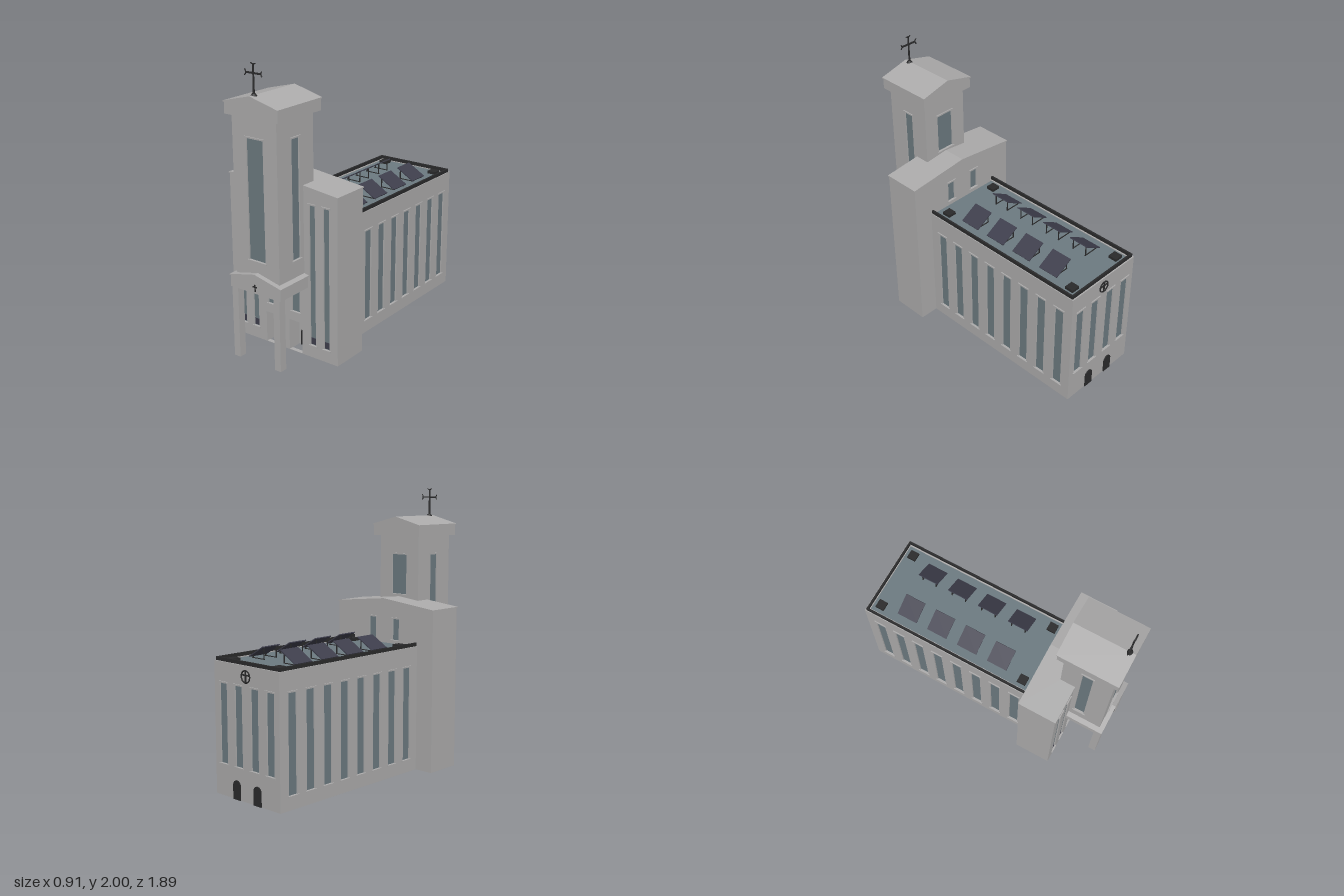
import * as THREE from 'three';

const mat = (name, color) => {
  const m = new THREE.MeshStandardMaterial({ color });
  m.name = name;
  return m;
};

export function createModel() {
  const stone = mat('stone', 0xacabab);
  const glass = mat('glass', 0x6c7a80);
  const panel = mat('solar panel', 0x3e3e4c);
  const iron = mat('dark iron', 0x2a2a2b);
  const root = new THREE.Group();

  const add = (parent, name, geo, m, x = 0, y = 0, z = 0) => {
    const mesh = new THREE.Mesh(geo, m);
    mesh.name = name;
    mesh.position.set(x, y, z);
    parent.add(mesh);
    return mesh;
  };
  const box = (parent, name, m, w, h, d, x, y, z) =>
    add(parent, name, new THREE.BoxGeometry(w, h, d), m, x, y, z);
  const group = (name, parent = root) => {
    const g = new THREE.Group();
    g.name = name;
    parent.add(g);
    return g;
  };
  const extrude = (shape, depth) =>
    new THREE.ExtrudeGeometry(shape, { depth, bevelEnabled: false, curveSegments: 10 });
  const rect = (T, x0, y0, x1, y1) => {
    const s = new T();
    s.moveTo(x0, y0); s.lineTo(x1, y0); s.lineTo(x1, y1); s.lineTo(x0, y1); s.closePath();
    return s;
  };

  // Wall whose outer face is at local z = 0, pierced by framed windows
  const T = 0.03;
  const wall = (name, w, y0, y1, windows, pos, rotY, voids = []) => {
    const g = group(name);
    g.position.set(...pos);
    g.rotation.y = rotY;
    const shape = rect(THREE.Shape, -w / 2, y0, w / 2, y1);
    for (const v of voids) shape.holes.push(rect(THREE.Path, ...v));
    for (const o of windows) {
      shape.holes.push(rect(THREE.Path, o.x - o.w / 2, o.y0, o.x + o.w / 2, o.y1));
      box(g, 'windowPane', glass, o.w, o.y1 - o.y0, 0.006, o.x, (o.y0 + o.y1) / 2, -0.013);
      for (const y of [o.y0 - 0.005, o.y1 + 0.005])
        box(g, 'windowLedge', stone, o.w + 0.022, 0.01, 0.02, o.x, y, -0.002);
    }
    add(g, 'wallPanel', extrude(shape, T), stone, 0, 0, -T);
    return g;
  };
  const wins = (xs, w, y0, y1) => xs.map((x) => ({ x, w, y0, y1 }));

  // Low gabled roof block, ridge along z
  const gable = (parent, name, half, y, rise, z0, z1) => {
    const s = new THREE.Shape();
    s.moveTo(-half, 0); s.lineTo(half, 0); s.lineTo(half, 0.008);
    s.lineTo(0, rise); s.lineTo(-half, 0.008); s.closePath();
    add(parent, name, extrude(s, z1 - z0), stone, 0, y, z0);
  };

  // Arched door leaf, standing on local y = 0
  const door = (parent, x, z, dir) => {
    const s = new THREE.Shape();
    s.moveTo(-0.035, 0); s.lineTo(0.035, 0); s.lineTo(0.035, 0.095);
    s.absarc(0, 0.095, 0.035, 0, Math.PI, false);
    s.closePath();
    const d = add(parent, 'door', extrude(s, 0.008), iron, x, 0, z);
    if (dir < 0) d.rotation.y = Math.PI;
  };

  // Nave: two long walls and the back wall
  const H = Math.PI / 2;
  const bays = Array.from({ length: 8 }, (_, i) => (i - 3.5) * 0.158);
  for (const s of [-1, 1])
    wall('naveSideWall', 1.325, 0, 0.9, wins(bays, 0.072, 0.095, 0.76), [0.31 * s, 0, -0.2725], s * H);
  wall('naveBackWall', 0.62, 0, 0.9, wins([-0.225, -0.077, 0.077, 0.225], 0.07, 0.22, 0.76),
    [0, 0, -0.937], Math.PI);
  for (const x of [-0.1, 0.1]) door(root, x, -0.936, -1);

  // Nave roof with dark parapet rail
  const roof = group('naveRoof');
  box(roof, 'roofDeck', glass, 0.57, 0.012, 1.29, 0, 0.889, -0.265);
  for (const s of [-1, 1]) {
    box(roof, 'parapetRail', iron, 0.014, 0.026, 1.315, 0.297 * s, 0.911, -0.267);
    for (const z of [-0.85, 0.3]) box(roof, 'roofVent', iron, 0.064, 0.02, 0.064, 0.22 * s, 0.905, z);
  }
  box(roof, 'parapetRail', iron, 0.606, 0.026, 0.014, 0, 0.911, -0.92);

  // Solar panels leaning outward on thin stands
  for (const s of [-1, 1]) for (let i = 0; i < 4; i++) {
    const g = group('solarPanel', roof);
    g.position.set(0.152 * s, 0.895, 0.09 - i * 0.243);
    const p = box(g, 'panelFace', panel, 0.156, 0.007, 0.155, 0, 0.05, 0);
    p.rotation.z = -s * 0.52;
    for (const z of [-0.055, 0.055]) {
      box(g, 'panelLegTall', iron, 0.006, 0.078, 0.006, -0.055 * s, 0.038, z);
      box(g, 'panelLegShort', iron, 0.006, 0.02, 0.006, 0.05 * s, 0.01, z);
      box(g, 'panelFoot', iron, 0.12, 0.005, 0.006, 0, 0.003, z);
    }
  }

  // Transept with entrance niches in its front wall
  const front = wall('transeptFrontWall', 0.9, 0, 1.165, [
    ...wins([-0.36, -0.247, 0.247, 0.36], 0.046, 0.09, 1.075),
    ...wins([-0.103, 0.103], 0.066, 0.295, 0.495),
  ], [0, 0, 0.66], 0, [[-0.155, 0.002, -0.045, 0.225], [0.045, 0.002, 0.155, 0.225]]);
  for (const x of [-0.36, -0.247, 0.247, 0.36])
    box(front, 'lowerPane', panel, 0.04, 0.045, 0.006, x, 0.118, -0.009);
  for (const x of [-0.1, 0.1]) {
    const n = group('entranceNiche');
    n.position.x = x;
    for (const s of [-1, 1]) box(n, 'nicheSide', stone, 0.008, 0.23, 0.1, 0.059 * s, 0.115, 0.6);
    box(n, 'nicheTop', stone, 0.126, 0.008, 0.1, 0, 0.229, 0.6);
    box(n, 'nicheBack', stone, 0.126, 0.23, 0.008, 0, 0.115, 0.552);
    door(n, 0, 0.555, 1);
    door(n, 0, 0.549, -1);
  }
  for (const s of [-1, 1])
    wall('transeptSideWall', 0.27, 0, 1.165, [], [0.45 * s, 0, 0.525], s * H);
  wall('transeptBackWall', 0.9, 0, 1.165, wins([-0.11, 0.11], 0.06, 0.92, 1.075),
    [0, 0, 0.39], Math.PI, [[-0.28, 0.002, 0.28, 0.86]]);
  gable(root, 'transeptRoof', 0.455, 1.16, 0.057, 0.385, 0.665);

  // Bell tower
  const tall = wins([0], 0.135, 0.715, 1.525);
  wall('towerFrontWall', 0.36, 0.56, 1.67, tall, [0, 0, 0.91], 0);
  wall('towerBackWall', 0.36, 1.15, 1.67, wins([0], 0.135, 1.235, 1.525), [0, 0, 0.555], Math.PI);
  for (const s of [-1, 1])
    wall('towerSideWall', 0.355, 0.56, 1.67, wins([0], 0.075, 0.715, 1.525), [0.18 * s, 0, 0.7325], s * H);
  box(root, 'towerCornice', stone, 0.43, 0.08, 0.42, 0, 1.7, 0.7275);
  gable(root, 'towerRoof', 0.22, 1.736, 0.064, 0.51, 0.943);

  // Entrance porch
  const porch = group('porch');
  box(porch, 'porchBeam', stone, 0.42, 0.085, 0.285, 0, 0.5425, 0.7975);
  gable(porch, 'porchRoof', 0.217, 0.578, 0.057, 0.655, 0.945);
  for (const s of [-1, 1]) box(porch, 'porchColumn', stone, 0.05, 0.51, 0.055, 0.175 * s, 0.255, 0.912);
  box(porch, 'porchCrossPost', iron, 0.008, 0.048, 0.008, 0, 0.54, 0.941);
  box(porch, 'porchCrossBar', iron, 0.034, 0.008, 0.008, 0, 0.547, 0.941);

  // Round emblem on the back wall
  const emblem = group('backEmblem');
  emblem.position.set(0, 0.83, -0.94);
  add(emblem, 'emblemRing', new THREE.TorusGeometry(0.04, 0.005, 6, 24), iron);
  box(emblem, 'emblemPost', iron, 0.009, 0.08, 0.008, 0, 0, 0);
  box(emblem, 'emblemBar', iron, 0.08, 0.009, 0.008, 0, 0.01, 0);

  // Tower cross with curved tips
  const cross = group('towerCross');
  cross.position.set(0, 0, 0.9);
  add(cross, 'crossBase', new THREE.CylinderGeometry(0.012, 0.022, 0.015, 12), iron, 0, 1.802, 0);
  add(cross, 'crossPost', new THREE.CylinderGeometry(0.005, 0.007, 0.19, 8), iron, 0, 1.9, 0);
  box(cross, 'crossBar', iron, 0.12, 0.01, 0.01, 0, 1.935, 0);
  const tip = new THREE.TorusGeometry(0.024, 0.004, 6, 8, 1.8);
  for (const [x, y, a] of [[0.085, 1.935, H], [-0.085, 1.935, -H], [0, 2.014, Math.PI]])
    add(cross, 'crossTip', tip, iron, x, y, 0).rotation.z = a + H - 0.9 - H + H;

  return root;
}
